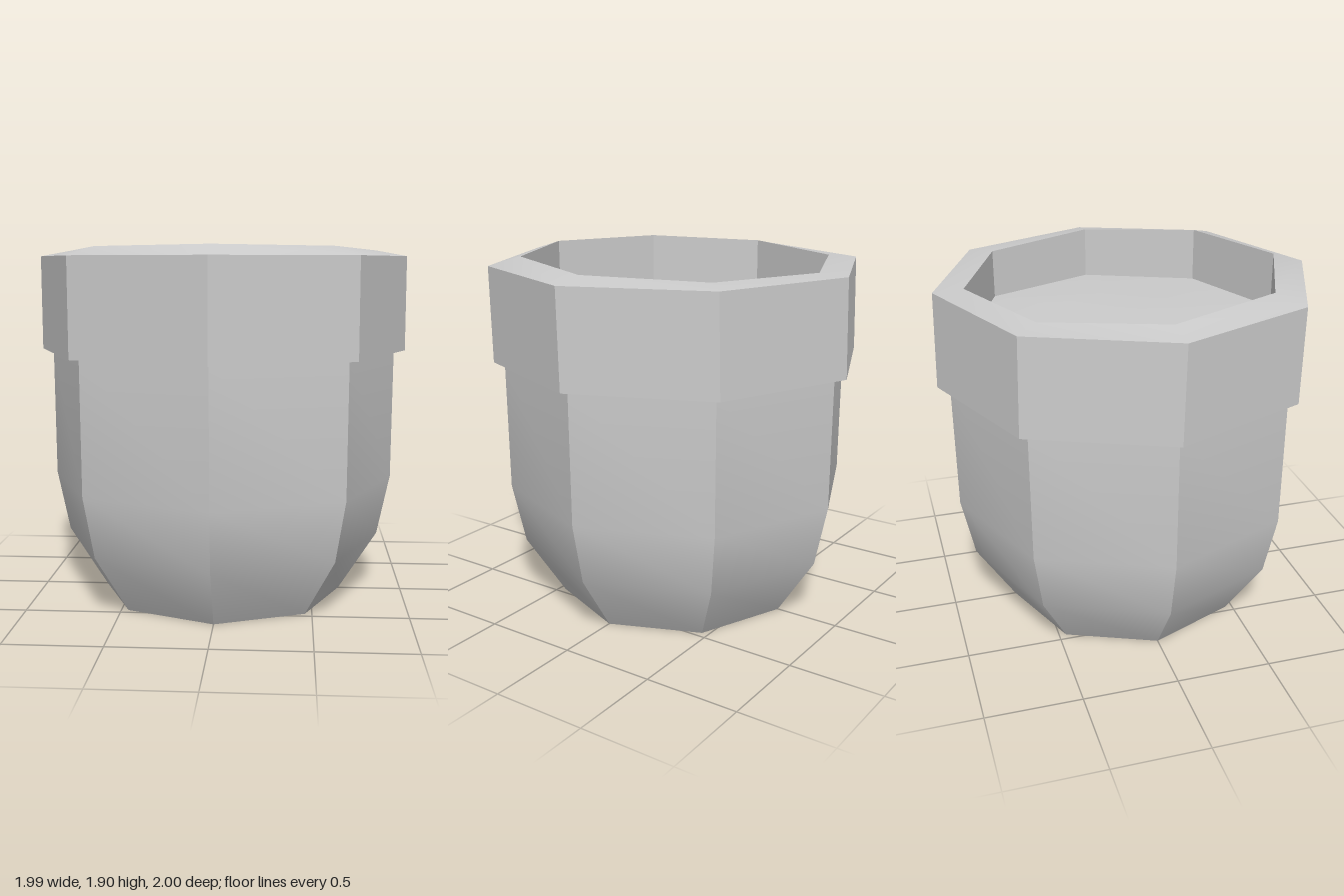
import * as THREE from 'three';
import { toCreasedNormals } from 'three/addons/utils/BufferGeometryUtils.js';

const SIDES = 8;

// Eight-sided turned part; bend(v) may move each vertex by a rule
function turned(name, profile, bend) {
  const geo = new THREE.LatheGeometry(profile.map(([r, y]) => new THREE.Vector2(r, y)), SIDES);
  if (bend) {
    const pos = geo.attributes.position;
    const v = new THREE.Vector3();
    for (let i = 0; i < pos.count; i++) {
      bend(v.fromBufferAttribute(pos, i));
      pos.setXYZ(i, v.x, v.y, v.z);
    }
  }
  const material = new THREE.MeshStandardMaterial({ color: 0xcccccc });
  const mesh = new THREE.Mesh(toCreasedNormals(geo, 0.5), material);
  mesh.name = name;
  return mesh;
}

export function createModel() {
  const pot = new THREE.Group();
  pot.name = 'plantPot';

  // Tapered body with a closed base
  pot.add(turned('body', [[0, 0], [0.655, 0], [0.862, 0.32], [0.93, 0.645], [0.935, 1.34]]));

  // Overhanging collar: underside, outer wall, sloped lip and inner wall; the lip leans slightly forward
  pot.add(turned('rim',
    [[0.93, 1.34], [0.995, 1.34], [0.993, 1.845], [0.83, 1.875], [0.83, 1.59]],
    (v) => {
      if (v.y > 1.86) v.y += 0.022 * v.z / 0.83;
      else if (v.y > 1.8) v.z += 0.006;
      else if (Math.hypot(v.x, v.z) > 0.98) v.z -= 0.005;
    }));

  // Slightly uneven soil filling the pot
  pot.add(turned('soil',
    [[0.83, 1.6], [0.42, 1.61], [0, 1.615]],
    (v) => {
      const r = Math.hypot(v.x, v.z);
      if (r > 0.1 && r < 0.6) v.y += 0.012 * Math.sin(5 * v.x + 3 * v.z);
    }));

  return pot;
}
